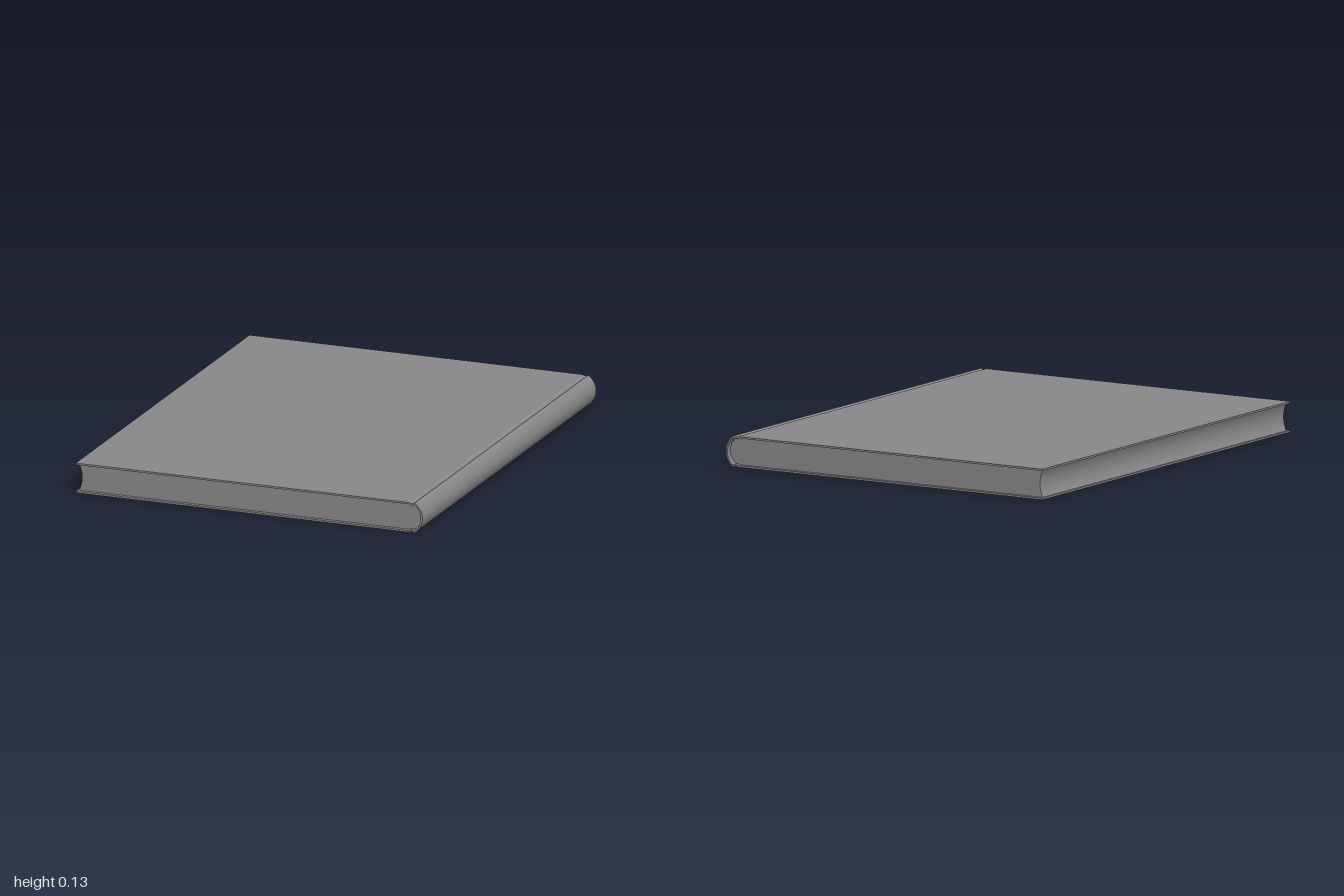
import * as THREE from 'three';
import { toCreasedNormals } from 'three/addons/utils/BufferGeometryUtils.js';

const HEIGHT = 0.133;     // closed thickness of the book
const BOARD = 0.008;      // cover thickness
const HALF_W = 0.795;
const HALF_L = 0.994;
const SPINE_X = 0.759;    // where the rounded spine begins
const MID = HEIGHT / 2;

// Extrude an x/y outline along z, centred, keeping the hard edges sharp
function extrudeAlongZ(points, halfLength) {
  const geo = new THREE.ExtrudeGeometry(new THREE.Shape(points), {
    depth: halfLength * 2, bevelEnabled: false,
  });
  geo.translate(0, 0, -halfLength);
  return toCreasedNormals(geo, 0.25);
}

// Points of a circular arc from bottom to top, bulging towards +x
function bulge(x, depth, halfHeight, steps = 20) {
  const radius = (halfHeight ** 2 + depth ** 2) / (2 * depth);
  const limit = Math.asin(halfHeight / radius);
  return Array.from({ length: steps + 1 }, (_, i) => {
    const a = limit * ((2 * i) / steps - 1);
    return new THREE.Vector2(x + depth - radius * (1 - Math.cos(a)), MID + radius * Math.sin(a));
  });
}

// One skin of the cover, bottom board to top board, with the hinge grooves
function coverSkin(h, spineDepth) {
  const board = [[-HALF_W, h], [0.733, h], [0.742, h - 0.004], [0.75, h - 0.004]];
  return [
    ...board.map(([x, y]) => new THREE.Vector2(x, MID - y)),
    ...bulge(SPINE_X, spineDepth, h),
    ...board.map(([x, y]) => new THREE.Vector2(x, MID + y)).reverse(),
  ];
}

function coverOutline() {
  const depth = HALF_W - SPINE_X;
  return [...coverSkin(MID, depth), ...coverSkin(MID - BOARD, depth - BOARD).reverse()];
}

// Page block: hollow fore edge on the left, rounded back inside the spine
function pagesOutline() {
  const h = MID - BOARD;
  return [
    new THREE.Vector2(0.73, MID - h),
    ...bulge(SPINE_X - 0.003, 0.028, h - 0.005),
    new THREE.Vector2(0.73, MID + h),
    ...bulge(-0.787, 0.014, h).reverse(),
  ];
}

export function createModel() {
  const group = new THREE.Group();
  group.name = 'book';
  const material = new THREE.MeshStandardMaterial({ color: 0x888888 });

  const cover = new THREE.Mesh(extrudeAlongZ(coverOutline(), HALF_L), material);
  cover.name = 'cover';

  const pages = new THREE.Mesh(extrudeAlongZ(pagesOutline(), HALF_L - 0.018), material);
  pages.name = 'pageBlock';

  group.add(cover, pages);
  group.rotation.y = -0.0075; // lies very slightly askew
  return group;
}
